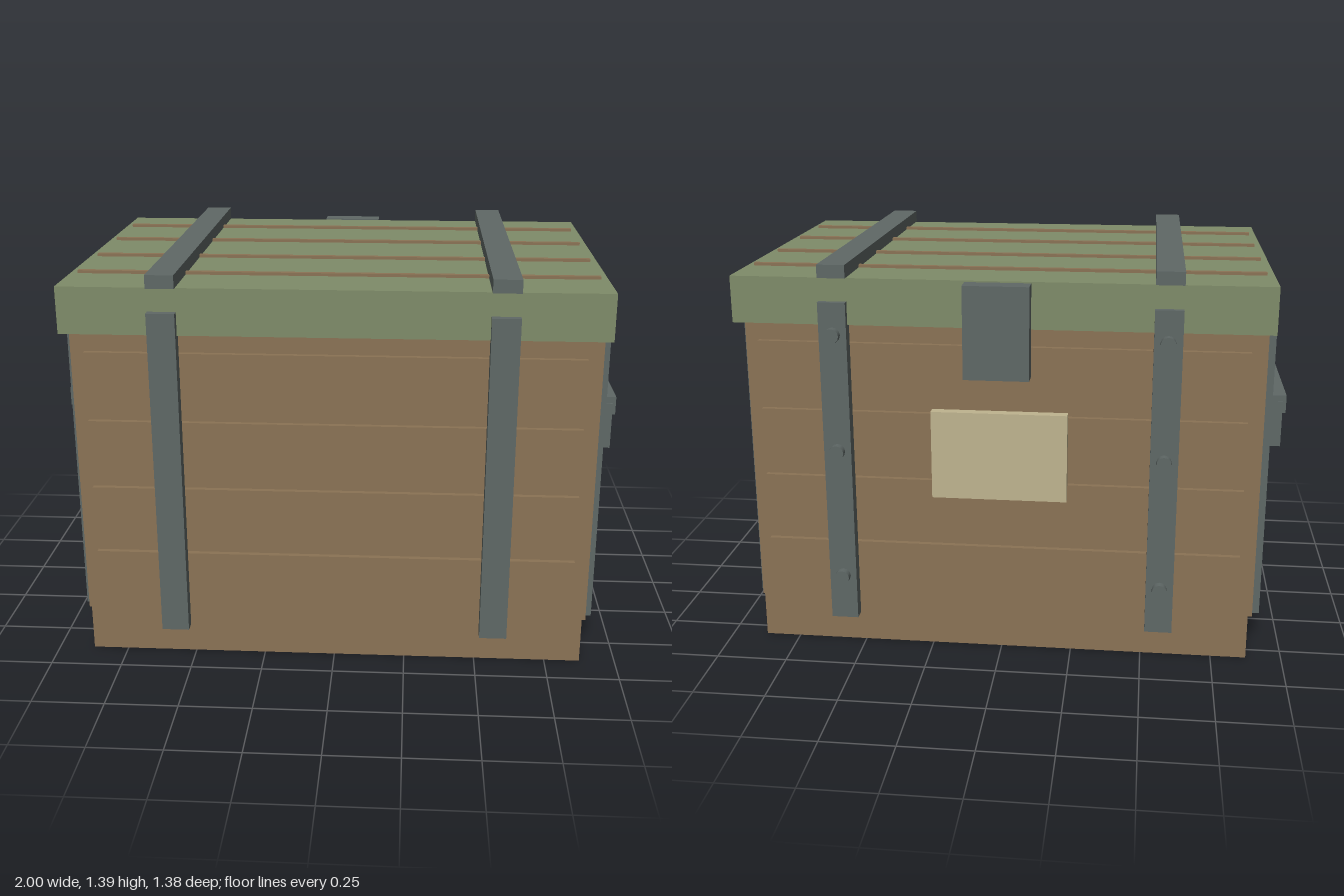
import * as THREE from 'three';

const material = (name, color) => {
  const m = new THREE.MeshStandardMaterial({ color });
  m.name = name;
  return m;
};

export function createModel() {
  const wood = material('brown wood', 0x8b7355);
  const green = material('green paint', 0x7f8c69);
  const metal = material('grey metal', 0x5f6866);
  const paper = material('pale label', 0xbfb48f);

  const crate = new THREE.Group();
  crate.name = 'crate';

  // Box given by its min/max on each axis
  const box = (name, mat, [x0, x1], [y0, y1], [z0, z1]) => {
    const mesh = new THREE.Mesh(new THREE.BoxGeometry(x1 - x0, y1 - y0, z1 - z0), mat);
    mesh.position.set((x0 + x1) / 2, (y0 + y1) / 2, (z0 + z1) / 2);
    mesh.name = name;
    crate.add(mesh);
    return mesh;
  };
  const side = (s, a, b) => (s > 0 ? [a, b] : [-b, -a]);

  // Body and lid
  box('body', wood, [-0.875, 0.875], [0, 1.19], [-0.56, 0.63]);
  box('lid', green, [-0.91, 0.91], [1.19, 1.35], [-0.6, 0.665]);

  // Horizontal planks on front and back
  for (let i = 0; i < 4; i++) {
    const y = 0.172 + i * 0.243;
    box('frontPlank', wood, [-0.835, 0.835], [y, y + 0.222], [0.63, 0.648]);
    box('backPlank', wood, [-0.835, 0.835], [y, y + 0.222], [-0.578, -0.56]);
  }

  // Thin slats across the lid
  for (const z of [-0.4, -0.12, 0.178, 0.456])
    box('lidSlat', wood, [-0.885, 0.885], [1.35, 1.36], [z - 0.009, z + 0.009]);

  for (const s of [1, -1]) {
    // Straps over the lid, front and back
    const strapX = side(s, 0.513, 0.608);
    box('lidStrap', metal, strapX, [1.35, 1.395], [-0.61, 0.68]);
    box('frontStrap', metal, strapX, [0.115, 1.27], [0.648, 0.692]);
    box('backStrap', metal, strapX, [0.115, 1.27], [-0.622, -0.578]);

    // Rivets on the back straps
    for (const y of [0.28, 0.748, 1.16]) {
      const rivet = new THREE.Mesh(new THREE.CylinderGeometry(0.026, 0.026, 0.026, 12), metal);
      rivet.rotation.x = Math.PI / 2;
      rivet.position.set(s * 0.56, y, -0.635);
      rivet.name = 'rivet';
      crate.add(rivet);
    }

    // Side panel with its two straps
    box('sidePanel', wood, side(s, 0.875, 0.893), [0.145, 1.19], [-0.525, 0.595]);
    for (const z of [-0.375, 0.445])
      box('sideStrap', metal, side(s, 0.893, 0.926), [0.115, 1.23], [z - 0.06, z + 0.06]);

    // Carrying handle
    box('handleBar', metal, side(s, 0.937, 1), [0.807, 0.873], [-0.203, 0.265]);
    for (const z of [-0.172, 0.24])
      box('handlePost', metal, side(s, 0.89, 0.988), [0.68, 0.85], [z - 0.033, z + 0.033]);
  }

  // Latch and label on the back
  box('latch', metal, [-0.11, 0.11], [1.035, 1.35], [-0.688, -0.624]);
  box('label', paper, [-0.233, 0.233], [0.59, 0.9], [-0.62, -0.585]);

  return crate;
}
